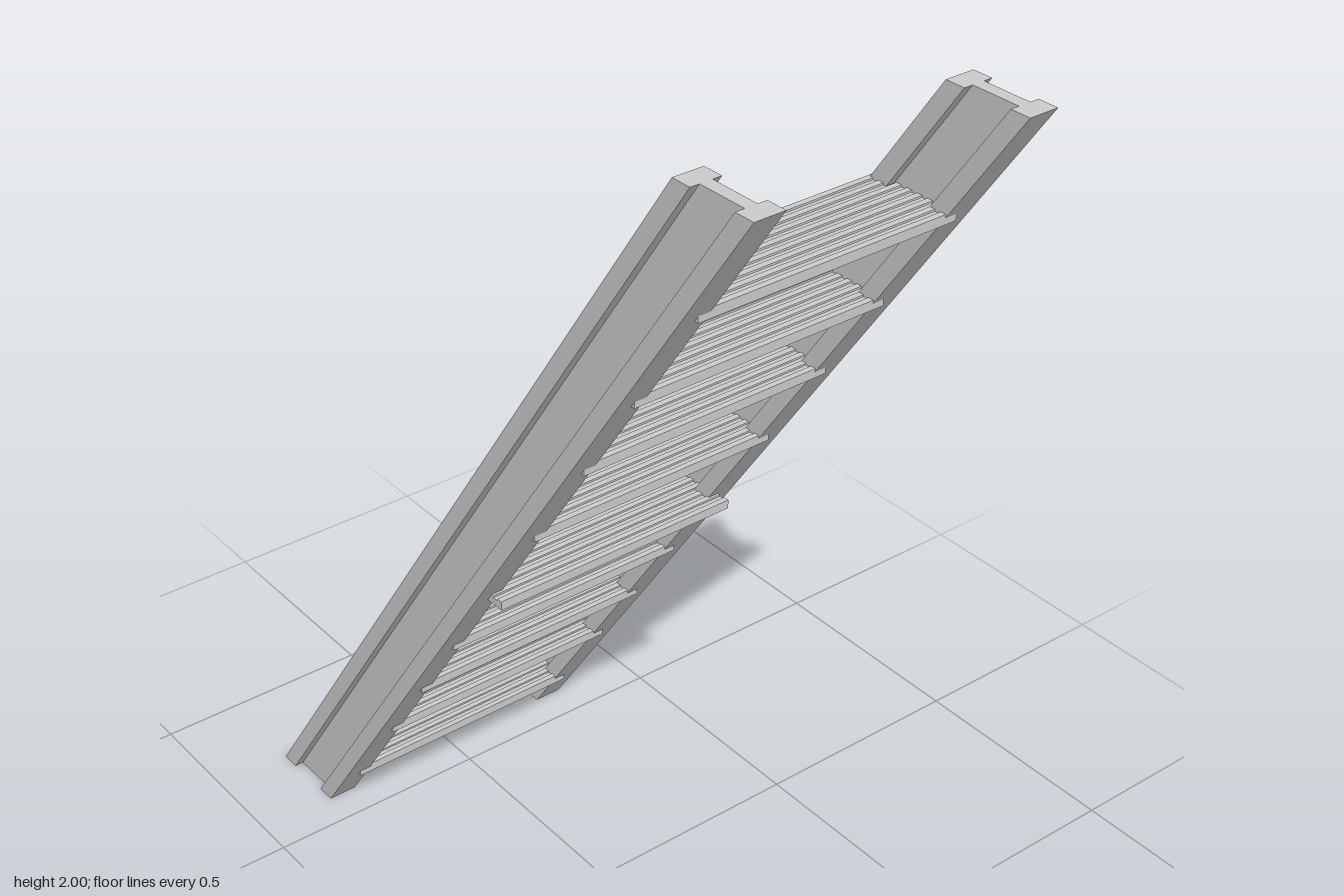
import * as THREE from 'three';

const SLOPE = 0.675; // forward lean: z per unit of height
const HALF = 0.095; // half depth of a rail, measured level
const material = new THREE.MeshStandardMaterial({ color: 0xcccccc, flatShading: true });

function shapeOf(points) {
  return new THREE.Shape(points.map(([x, y]) => new THREE.Vector2(x, y)));
}

// I-beam section, extruded upward and sheared so both ends stay level
function railGeometry() {
  const w = 0.032, web = 0.013, f = 0.052;
  const section = [
    [-w, -HALF], [w, -HALF], [w, -f], [web, -f], [web, f], [w, f],
    [w, HALF], [-w, HALF], [-w, f], [-web, f], [-web, -f], [-w, -f],
  ];
  const geo = new THREE.ExtrudeGeometry(shapeOf(section), { depth: 2, bevelEnabled: false });
  geo.rotateX(-Math.PI / 2);
  geo.applyMatrix4(new THREE.Matrix4().set(
    1, 0, 0, 0,
    0, 1, 0, 0,
    0, SLOPE, 1, -SLOPE,
    0, 0, 0, 1,
  ));
  geo.computeVertexNormals();
  return geo;
}

// Flat tread with a ribbed top, extruded across the ladder
function treadGeometry() {
  const length = 0.57, ribs = 8, t = 0.01, groove = 0.004;
  const pitch = (2 * HALF) / (ribs * 2 - 1);
  const points = [[-HALF, -t], [HALF, -t]];
  for (let i = 0; i < ribs; i++) {
    const a = HALF - i * 2 * pitch;
    points.push([a, t], [a - pitch, t]);
    if (i < ribs - 1) points.push([a - pitch, t - groove], [a - 2 * pitch, t - groove]);
  }
  const geo = new THREE.ExtrudeGeometry(shapeOf(points), { depth: length, bevelEnabled: false });
  geo.translate(0, 0, -length / 2);
  geo.rotateY(Math.PI / 2);
  return geo;
}

export function createModel() {
  const ladder = new THREE.Group();
  ladder.name = 'ladder';

  // Side rails
  const railGeo = railGeometry();
  for (const side of [-1, 1]) {
    const rail = new THREE.Mesh(railGeo, material);
    rail.name = side > 0 ? 'leftRail' : 'rightRail';
    rail.position.x = side * 0.291;
    ladder.add(rail);
  }

  // Treads, unevenly spaced; the middle one sits further forward
  const treadGeo = treadGeometry();
  const heights = [0.105, 0.32, 0.5, 0.683, 0.877, 1.095, 1.315, 1.52, 1.753];
  heights.forEach((y, i) => {
    const tread = new THREE.Mesh(treadGeo, material);
    tread.name = `tread${i + 1}`;
    tread.position.set(0, y, SLOPE * (y - 1) + (i === 4 ? 0.038 : 0.002));
    ladder.add(tread);
  });

  // Slight twist about the vertical
  ladder.rotation.y = 0.0098;
  const model = new THREE.Group();
  model.name = 'leaningLadder';
  model.add(ladder);
  return model;
}
